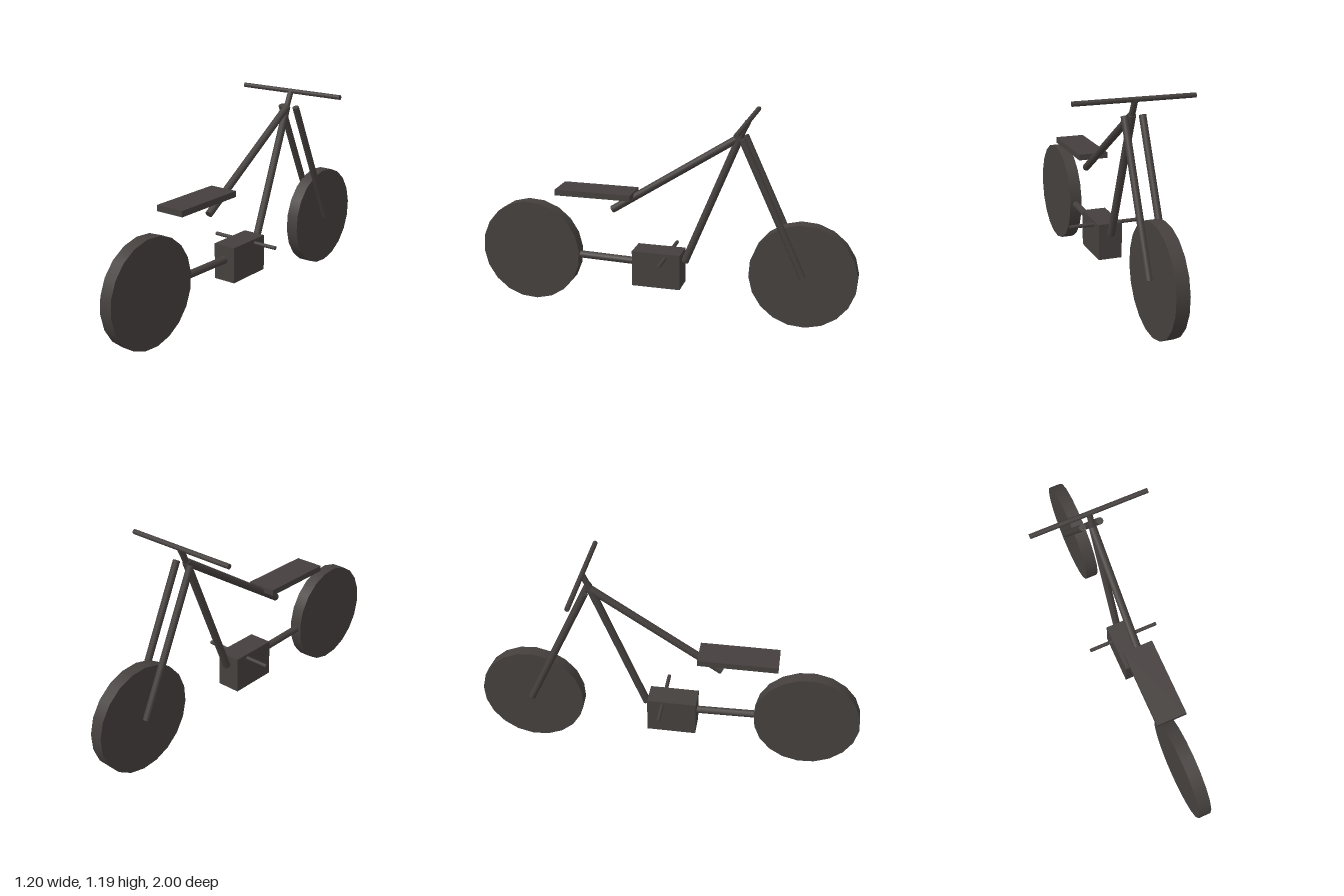
import * as THREE from 'three';

const frameColor = new THREE.MeshStandardMaterial({ color: 0x45403e });
frameColor.name = 'dark grey';

export function createModel() {
  const root = new THREE.Group();
  root.name = 'motorbike';
  // The bike is built along +x (forward), z sideways, then turned
  const bike = new THREE.Group();
  bike.name = 'bike';
  bike.rotation.y = Math.PI / 3;
  root.add(bike);

  const add = (name, geometry, x, y, z = 0) => {
    const mesh = new THREE.Mesh(geometry, frameColor);
    mesh.name = name;
    mesh.position.set(x, y, z);
    bike.add(mesh);
    return mesh;
  };

  // Straight round tube between two points
  const tube = (name, a, b, radius, sides = 12) => {
    const start = new THREE.Vector3(...a);
    const dir = new THREE.Vector3(...b).sub(start);
    const length = dir.length();
    const mesh = add(name, new THREE.CylinderGeometry(radius, radius, length, sides), 0, 0);
    mesh.position.copy(start).addScaledVector(dir, 0.5);
    mesh.quaternion.setFromUnitVectors(new THREE.Vector3(0, 1, 0), dir.normalize());
  };

  // Solid disc wheels
  for (const [name, x] of [['rearWheel', -0.824], ['frontWheel', 0.824]]) {
    const disc = new THREE.CylinderGeometry(0.31, 0.31, 0.075, 20);
    disc.rotateX(Math.PI / 2);
    disc.rotateZ(THREE.MathUtils.degToRad(5));
    add(name, disc, x, 0.309);
  }

  // Engine block and seat
  add('engine', new THREE.BoxGeometry(0.29, 0.215, 0.142), -0.028, 0.2725);
  add('seat', new THREE.BoxGeometry(0.46, 0.035, 0.176), -0.406, 0.708);

  // Frame
  tube('topTube', [-0.31, 0.605, 0], [0.44, 1.09, 0], 0.022);
  tube('downTube', [0.13, 0.32, 0], [0.44, 1.09, 0], 0.022);
  tube('swingArm', [-0.82, 0.31, 0], [-0.15, 0.294, 0], 0.022);

  // Steering
  tube('stem', [0.43, 1.07, 0], [0.482, 1.18, 0], 0.017);
  tube('handlebar', [0.482, 1.18, -0.345], [0.482, 1.18, 0.345], 0.014);
  for (const side of [-1, 1]) {
    tube(side > 0 ? 'leftForkLeg' : 'rightForkLeg',
      [0.46, 1.09, side * 0.051], [0.826, 0.31, side * 0.051], 0.02);
  }

  // Foot pegs
  tube('footPegs', [0.028, 0.355, -0.217], [0.028, 0.355, 0.217], 0.011);

  return root;
}
